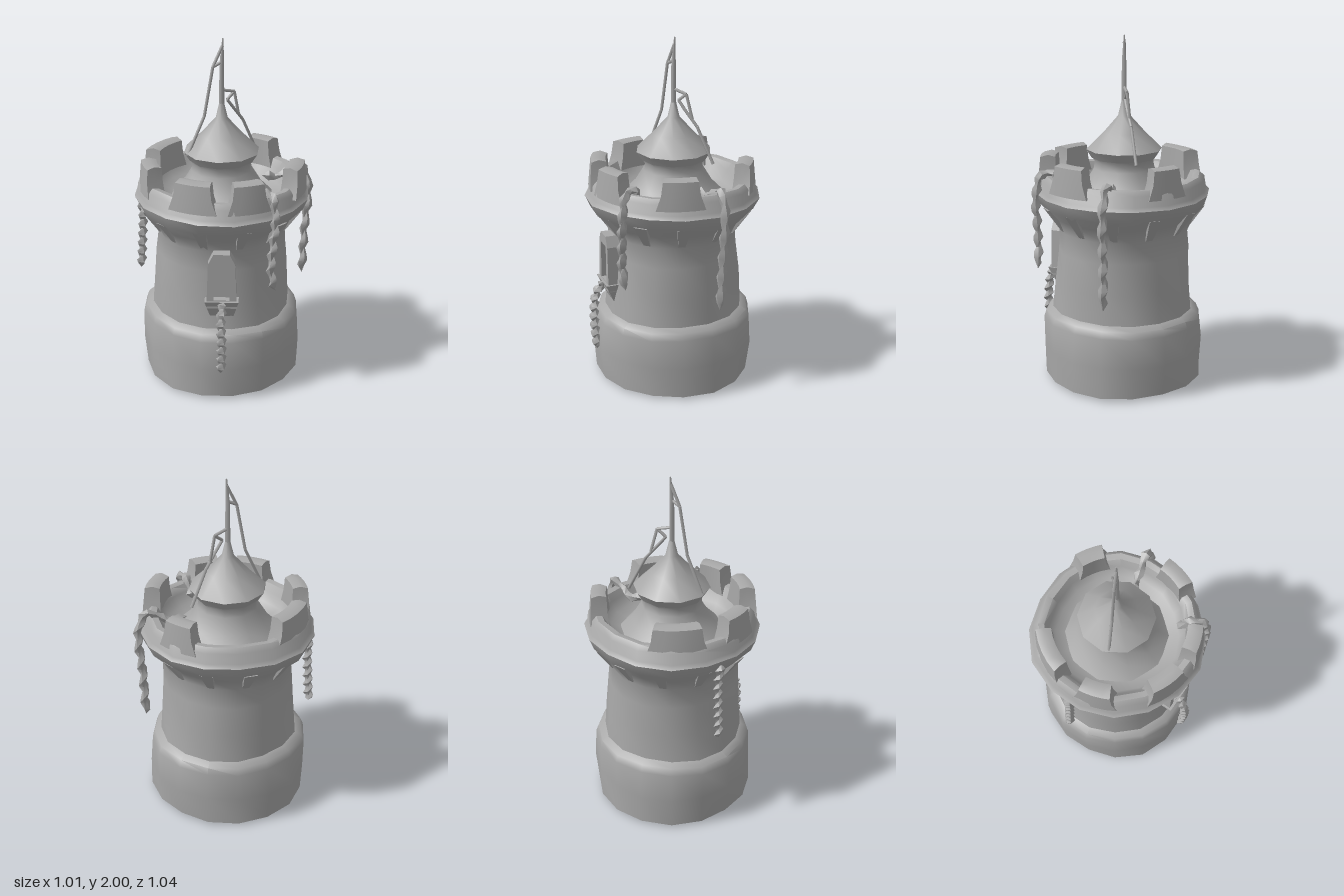
import * as THREE from 'three';
import { toCreasedNormals } from 'three/addons/utils/BufferGeometryUtils.js';

const stone = new THREE.MeshStandardMaterial({ color: 0xa8a8a8 });
stone.name = 'stone grey';

const V = (p) => new THREE.Vector3(...p);
const deg = Math.PI / 180;

function add(parent, geometry, name) {
  const mesh = new THREE.Mesh(geometry, stone);
  mesh.name = name;
  parent.add(mesh);
  return mesh;
}

// Move every vertex of a geometry by a rule
function warp(geometry, rule) {
  const pos = geometry.attributes.position;
  const v = new THREE.Vector3();
  for (let i = 0; i < pos.count; i++) {
    v.fromBufferAttribute(pos, i);
    rule(v);
    pos.setXYZ(i, v.x, v.y, v.z);
  }
  return geometry;
}

function crease(geometry, angle) {
  geometry.deleteAttribute('normal');
  return toCreasedNormals(geometry, angle);
}

function lathe(profile, sides, rule) {
  return warp(new THREE.LatheGeometry(profile.map(([r, y]) => new THREE.Vector2(r, y)), sides), rule);
}

// Worn, slightly uneven masonry, a touch deeper toward the back
function weather(v) {
  const a = Math.atan2(v.z, v.x);
  const k = 1 + 0.014 * Math.sin(3 * a + v.y * 7) + 0.01 * Math.sin(5 * a - v.y * 13);
  v.x = v.x * k - 0.004;
  v.z = v.z * k - 0.01;
}

// Block following the ring of the parapet, with sloping ends and rounded top edges
function merlon(from, to) {
  const mid = (from + to) / 2, span = to - from;
  const g = warp(new THREE.BoxGeometry(1, 1, 1, 4, 2, 2), (v) => {
    const h = v.y + 0.5;
    const a = (mid - v.x * (span + 9 * (1 - h) ** 2)) * deg;
    const edge = Math.abs(v.z) > 0.4 ? 0.012 * h * h : 0;
    const r = 0.426 + v.z * (0.105 - 0.02 * h) - 0.006 * h;
    v.set(r * Math.cos(a), 1.16 + 0.17 * h - edge, r * Math.sin(a));
  });
  return crease(g, 0.8);
}

// Knotted hanging strand: a tube whose section swells and shrinks
function strand(points, radius, rows) {
  const curve = new THREE.CatmullRomCurve3(points.map(V));
  const g = new THREE.TubeGeometry(curve, rows, radius, 5, false);
  const pos = g.attributes.position;
  const c = new THREE.Vector3(), v = new THREE.Vector3();
  for (let i = 0; i <= rows; i++) {
    curve.getPointAt(i / rows, c);
    const end = i === 0 || i === rows ? 0.05 : 1;
    for (let j = 0; j <= 5; j++) {
      const n = i * 6 + j;
      const k = end * (0.85 + 0.4 * Math.sin(i * 2.1 + (j % 5) * 1.7));
      v.fromBufferAttribute(pos, n).sub(c).multiplyScalar(k).add(c);
      pos.setXYZ(n, v.x, v.y, v.z);
    }
  }
  return crease(g, 0.8);
}

// Tapering straight rod between two points
function rod(a, b, r0, r1) {
  const from = V(a), dir = V(b).sub(from);
  const g = new THREE.CylinderGeometry(r1, r0, dir.length(), 5);
  g.applyQuaternion(new THREE.Quaternion().setFromUnitVectors(V([0, 1, 0]), dir.clone().normalize()));
  return g.translate(...from.addScaledVector(dir, 0.5).toArray());
}

export function createModel() {
  const model = new THREE.Group();
  model.name = 'tower';

  // Tower wall, overhanging parapet and sunken roof deck in one turned shell
  add(model, crease(lathe([
    [0, 0.005], [0.3, 0.01], [0.46, 0.02], [0.468, 0.2], [0.46, 0.37], [0.445, 0.41],
    [0.405, 0.43], [0.392, 0.6], [0.38, 0.78], [0.372, 0.9], [0.412, 0.98], [0.475, 1.045],
    [0.502, 1.11], [0.482, 1.13], [0.472, 1.19], [0.445, 1.215], [0.41, 1.21], [0.385, 1.17],
    [0.35, 1.11], [0.25, 1.08], [0, 1.07],
  ], 16, weather), 0.85), 'towerWall');

  // Merlons around the parapet, as start and end angles
  const merlons = new THREE.Group();
  merlons.name = 'merlons';
  [[-35, -15], [35, 59], [92, 113], [129, 154], [184, 206], [227, 260]]
    .forEach(([a, b]) => add(merlons, merlon(a, b), 'merlon'));
  model.add(merlons);

  // Shallow wedge brackets under the parapet, narrowing downward
  const wedge = new THREE.Shape([[0.34, 0.9], [0.376, 0.91], [0.47, 1.045], [0.34, 1.045]]
    .map(([x, y]) => new THREE.Vector2(x, y)));
  const bracketGeometry = new THREE.ExtrudeGeometry(wedge, { depth: 0.07, bevelEnabled: false });
  warp(bracketGeometry, (v) => { v.z = (v.z - 0.035) * (0.5 + (v.y - 0.9) * 4); });
  bracketGeometry.computeVertexNormals();
  const brackets = new THREE.Group();
  brackets.name = 'brackets';
  for (let i = 0; i < 12; i++) {
    add(brackets, bracketGeometry, 'bracket').rotation.y = (i + 0.5) * Math.PI / 6;
  }
  brackets.position.set(-0.004, 0, -0.01);
  model.add(brackets);

  // Inner turret on a sloping skirt, with its pointed, flared roof
  const setBack = (v) => { v.z -= 0.015; };
  add(model, crease(lathe([
    [0.31, 1.08], [0.23, 1.16], [0.175, 1.25], [0.168, 1.29], [0.19, 1.325],
  ], 10, setBack), 1), 'turret');
  add(model, crease(lathe([
    [0, 1.31], [0.185, 1.31], [0.217, 1.36], [0.12, 1.455], [0.035, 1.55], [0.016, 1.63], [0, 1.66],
  ], 10, setBack), 0.9), 'turretRoof');

  // Spire with two bent stays
  const spire = new THREE.Group();
  spire.name = 'spire';
  add(spire, rod([0, 1.56, -0.015], [0, 1.86, -0.015], 0.017, 0.013), 'spirePole');
  add(spire, rod([0, 1.86, -0.015], [0.008, 2.0, -0.015], 0.013, 0.004), 'spireTip');
  const stays = {
    leftStay: [[0.25, 1.31, -0.05], [0.15, 1.51, -0.035], [0.075, 1.6, -0.02], [0.035, 1.65, -0.015],
      [0.085, 1.69, -0.02], [0.005, 1.71, -0.015]],
    rightStay: [[-0.2, 1.35, -0.05], [-0.1, 1.57, -0.035], [-0.05, 1.845, -0.025], [0.005, 1.96, -0.015]],
    rightStayBrace: [[-0.05, 1.845, -0.025], [0, 1.87, -0.015]],
    leftStayBrace: [[0.085, 1.69, -0.02], [0.12, 1.55, -0.03]],
  };
  for (const [name, path] of Object.entries(stays)) {
    for (let i = 0; i + 1 < path.length; i++) add(spire, rod(path[i], path[i + 1], 0.009, 0.009), name);
  }
  model.add(spire);

  // Arched window surround with a recessed pane and a sloping sill
  const win = new THREE.Group();
  win.name = 'window';
  const frame = new THREE.Shape([[-0.085, -0.02], [0.085, -0.02], [0.075, 0.25], [0.045, 0.31], [-0.045, 0.31], [-0.075, 0.25]]
    .map(([x, y]) => new THREE.Vector2(x, y)));
  frame.holes.push(new THREE.Path([[-0.045, 0.03], [-0.045, 0.25], [0.045, 0.25], [0.045, 0.03]]
    .map(([x, y]) => new THREE.Vector2(x, y))));
  add(win, new THREE.ExtrudeGeometry(frame, { depth: 0.075, bevelEnabled: false }), 'windowFrame');
  add(win, new THREE.BoxGeometry(0.1, 0.25, 0.008).translate(0, 0.14, 0.03), 'windowPane');
  const sill = warp(new THREE.BoxGeometry(0.19, 0.11, 0.09), (v) => {
    if (v.y < 0) v.x *= 0.7;
    if (v.y < 0 && v.z > 0) v.z -= 0.05;
  });
  sill.computeVertexNormals();
  add(win, sill.translate(0, -0.03, 0.045), 'windowSill');
  win.position.set(-0.18, 0.597, 0.295);
  win.rotation.y = -32 * deg;
  model.add(win);

  // Strands draped over the parapet and below the window
  const strands = {
    frontStrand: [[0.04, 1.13, 0.33], [0.04, 1.23, 0.39], [0.04, 1.23, 0.46], [0.04, 1.1, 0.495],
      [0.03, 0.95, 0.49], [0.025, 0.8, 0.485], [0.05, 0.68, 0.49]],
    leftStrand: [[0.22, 1.19, 0.065], [0.33, 1.18, 0.1], [0.42, 1.24, 0.13], [0.46, 1.2, 0.15],
      [0.48, 1.08, 0.165], [0.465, 0.85, 0.16], [0.455, 0.55, 0.16]],
    backStrand: [[-0.4, 1.08, -0.27], [-0.385, 0.96, -0.27], [-0.39, 0.8, -0.275], [-0.4, 0.61, -0.28]],
    windowStrand: [[-0.215, 0.62, 0.37], [-0.25, 0.54, 0.4], [-0.255, 0.4, 0.415], [-0.25, 0.19, 0.4]],
  };
  for (const [name, path] of Object.entries(strands)) add(model, strand(path, 0.026, 24), name);

  return model;
}
